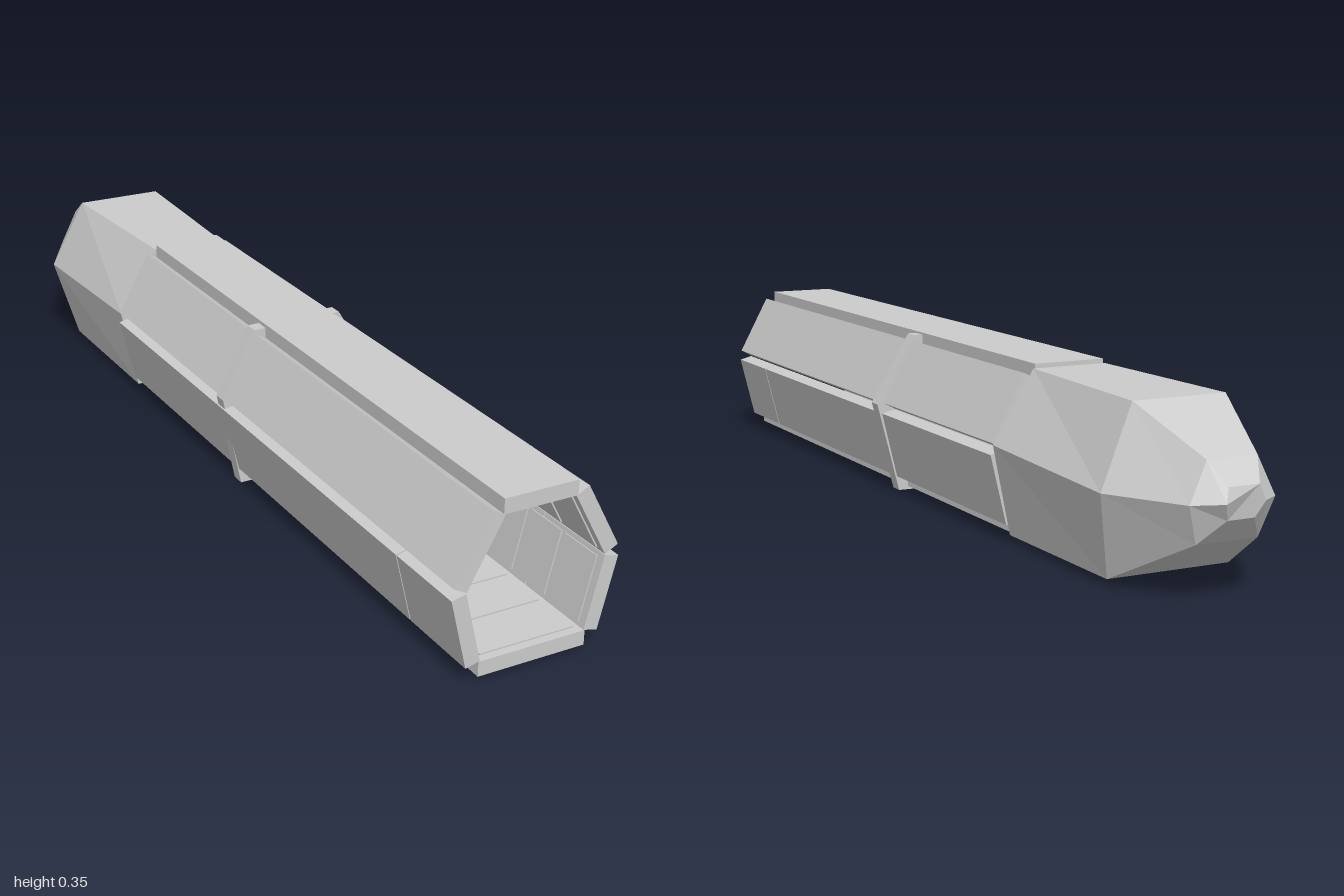
import * as THREE from 'three';

const CX = -0.006; // axis of the corridor
const mat = new THREE.MeshStandardMaterial({ color: 0xcccccc, flatShading: true });
const matDouble = new THREE.MeshStandardMaterial({ color: 0xcccccc, flatShading: true, side: THREE.DoubleSide });

// inner hexagon, clockwise from top left (seen from the front)
const INNER = [[-0.072, 0.317], [0.072, 0.317], [0.144, 0.184], [0.109, 0.04], [-0.109, 0.04], [-0.144, 0.184]]
  .map(([x, y]) => new THREE.Vector2(x + CX, y));
// outer hexagon of the collar
const COLLAR = [[-0.107, 0.339], [0.09, 0.343], [0.178, 0.197], [0.128, 0.003], [-0.14, 0], [-0.18, 0.197]]
  .map(([x, y]) => new THREE.Vector2(x, y));

function roundedRect(x0, y0, x1, y1, r, Type = THREE.Shape) {
  const s = new Type();
  s.moveTo(x0 + r, y0);
  s.lineTo(x1 - r, y0); s.quadraticCurveTo(x1, y0, x1, y0 + r);
  s.lineTo(x1, y1 - r); s.quadraticCurveTo(x1, y1, x1 - r, y1);
  s.lineTo(x0 + r, y1); s.quadraticCurveTo(x0, y1, x0, y1 - r);
  s.lineTo(x0, y0 + r); s.quadraticCurveTo(x0, y0, x0 + r, y0);
  return s;
}

// extrude a front-plane shape from z0 to z1
function prism(name, shape, z0, z1) {
  const geo = new THREE.ExtrudeGeometry(shape, { depth: z1 - z0, bevelEnabled: false, curveSegments: 5 });
  const mesh = new THREE.Mesh(geo, mat);
  mesh.position.z = z0;
  mesh.name = name;
  return mesh;
}

// quad between two points, offset along the outward normal from d0 to d1
function wallShape(a, b, d0, d1, trim = 0) {
  const t = b.clone().sub(a).normalize();
  const n = new THREE.Vector2(-t.y, t.x);
  const at = (p, along, d) => p.clone().addScaledVector(t, along).addScaledVector(n, d);
  return new THREE.Shape([at(a, trim, d0), at(b, -trim, d0), at(b, -trim, d1), at(a, trim, d1)]);
}

function buildWalls() {
  const g = new THREE.Group();
  g.name = 'corridorWalls';
  const names = ['roof', 'upperLeftWall', 'lowerLeftWall', 'floor', 'lowerRightWall', 'upperRightWall'];
  INNER.forEach((a, i) => {
    const b = INNER[(i + 1) % 6];
    // roof and floor overlap the side slabs a little
    const trim = i === 0 ? -0.004 : i === 3 ? -0.003 : 0.001;
    if (i === 0 || i === 3) {
      g.add(prism(names[i], wallShape(a, b, 0, 0.03, trim), -0.4, 1));
    } else {
      g.add(prism(names[i] + 'Front', wallShape(a, b, 0, 0.03, trim), 0.822, 1));
      g.add(prism(names[i] + 'Rear', wallShape(a, b, 0, 0.03, trim), -0.4, 0.819));
    }
    // raised lining panels on the inside
    for (let k = 0; k < 8; k++) {
      const z = 0.16 + k * 0.104;
      g.add(prism(names[i] + 'Lining', wallShape(a, b, -0.003, 0.001, 0.01), z, z + 0.095));
    }
  });
  return g;
}

function buildCollar() {
  const shape = new THREE.Shape(COLLAR);
  shape.holes.push(new THREE.Path(INNER));
  return prism('collar', shape, 0.108, 0.138);
}

function buildDoor() {
  const g = new THREE.Group();
  g.name = 'doorway';
  // bulkhead with an opening
  const bulkhead = new THREE.Shape(INNER);
  bulkhead.holes.push(roundedRect(-0.092, 0.042, 0.086, 0.195, 0.018, THREE.Path));
  g.add(prism('bulkhead', bulkhead, 0.105, 0.13));
  // raised frame
  const frame = roundedRect(-0.112, 0.0405, 0.105, 0.213, 0.03);
  frame.holes.push(roundedRect(-0.092, 0.042, 0.086, 0.195, 0.018, THREE.Path));
  g.add(prism('doorFrame', frame, 0.13, 0.142));
  const lip = roundedRect(-0.092, 0.042, 0.086, 0.195, 0.018);
  lip.holes.push(roundedRect(-0.086, 0.046, 0.08, 0.19, 0.016, THREE.Path));
  g.add(prism('doorSeal', lip, 0.108, 0.132));
  // two leaves that meet along a stepped seam
  const seam = [[-0.008, 0.195], [-0.008, 0.145], [0.005, 0.1], [0.005, 0.041]];
  const leaf = (edge, gap) => new THREE.Shape(
    [[edge, 0.195], ...seam.map(([x, y]) => [x + gap, y]), [edge, 0.041]].map(([x, y]) => new THREE.Vector2(x, y)));
  g.add(prism('rightLeaf', leaf(-0.092, -0.001), 0.106, 0.118));
  g.add(prism('leftLeaf', leaf(0.086, 0.001), 0.106, 0.122));
  // raised leaf panels with rims
  for (const [name, x0, y0, x1, y1, z] of [
    ['leftLeafPanel', 0.003, 0.127, 0.075, 0.182, 0.122],
    ['rightLeafPanel', -0.086, 0.046, -0.012, 0.108, 0.118]]) {
    const rim = roundedRect(x0, y0, x1, y1, 0.007);
    rim.holes.push(roundedRect(x0 + 0.004, y0 + 0.004, x1 - 0.004, y1 - 0.004, 0.005, THREE.Path));
    g.add(prism(name + 'Rim', rim, z, z + 0.005));
    g.add(prism(name, roundedRect(x0 + 0.004, y0 + 0.004, x1 - 0.004, y1 - 0.004, 0.005), z, z + 0.002));
  }
  // hinges: a plate and a barrel
  for (const x of [-0.102, 0.095]) {
    for (const y of [0.155, 0.087]) {
      g.add(prism('hingePlate', roundedRect(x - 0.015, y - 0.008, x + 0.015, y + 0.008, 0.003), 0.138, 0.147));
      const barrel = new THREE.Mesh(new THREE.CylinderGeometry(0.006, 0.006, 0.02, 10), mat);
      barrel.position.set(x, y, 0.147);
      barrel.name = 'hingeBarrel';
      g.add(barrel);
    }
  }
  // threshold step
  g.add(prism('threshold', roundedRect(-0.115, 0.039, 0.103, 0.044, 0.001), 0.13, 0.155));
  return g;
}

// faceted nose lofted through hexagonal sections, closed at both ends
function buildNose() {
  // each row: topX, topY, topZ, sideX, sideY, sideZ, bottomX, bottomY, bottomZ
  const rows = [
    [0.08, 0.338, -0.4, 0.168, 0.195, -0.4, 0.13, 0.013, -0.4],
    [0.098, 0.336, -0.79, 0.172, 0.182, -0.81, 0.13, 0.013, -0.765],
    [0.052, 0.257, -0.955, 0.088, 0.182, -0.96, 0.064, 0.108, -0.945],
    [0.032, 0.215, -0.992, 0.04, 0.187, -1, 0.028, 0.155, -0.985],
  ];
  const pos = [], idx = [];
  for (const [tx, ty, tz, sx, sy, sz, bx, by, bz] of rows) {
    pos.push(CX - tx, ty, tz, CX + tx, ty, tz, CX + sx, sy, sz, CX + bx, by, bz, CX - bx, by, bz, CX - sx, sy, sz);
  }
  for (let r = 0; r < rows.length - 1; r++) {
    for (let i = 0; i < 6; i++) {
      const a = r * 6 + i, b = r * 6 + (i + 1) % 6;
      idx.push(a, b, b + 6, a, b + 6, a + 6);
    }
  }
  const end = (rows.length - 1) * 6;
  for (let i = 1; i < 5; i++) {
    idx.push(0, i + 1, i, end, end + i, end + i + 1);
  }
  const geo = new THREE.BufferGeometry();
  geo.setAttribute('position', new THREE.Float32BufferAttribute(pos, 3));
  geo.setIndex(idx);
  const flat = geo.toNonIndexed();
  flat.computeVertexNormals();
  const mesh = new THREE.Mesh(flat, matDouble);
  mesh.name = 'nose';
  return mesh;
}

export function createModel() {
  const model = new THREE.Group();
  model.name = 'corridorModule';
  model.add(buildWalls(), buildCollar(), buildDoor(), buildNose());
  return model;
}
